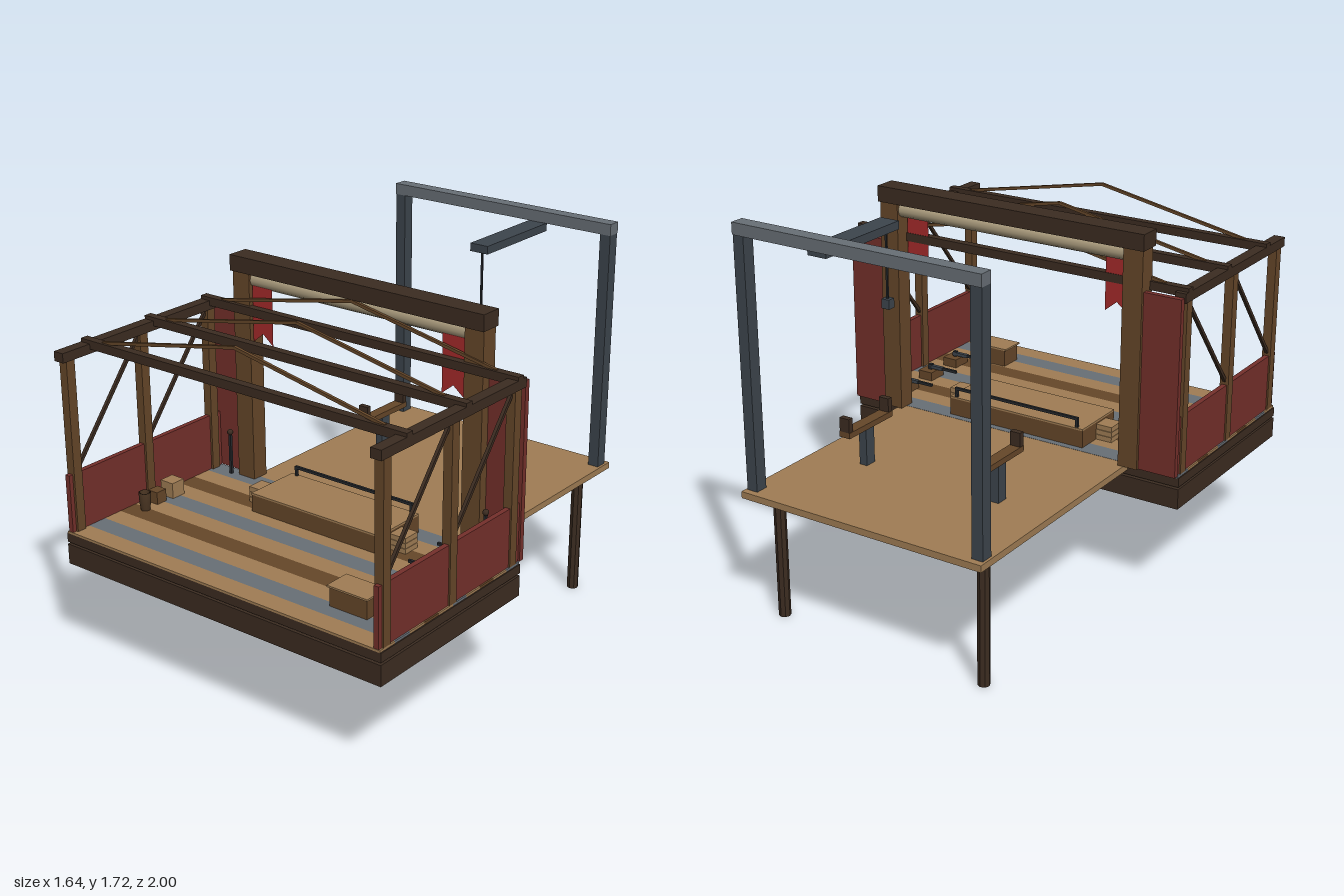
import * as THREE from 'three';

const mat = (name, color) => {
  const m = new THREE.MeshStandardMaterial({ color });
  m.name = name;
  return m;
};

export function createModel() {
  const root = new THREE.Group();
  const darkWood = mat('dark wood', 0x3c2c21);
  const wood = mat('brown wood', 0x664729);
  const tan = mat('tan planks', 0xa07d54);
  const red = mat('dark red panel', 0x75302b);
  const bannerRed = mat('banner red', 0xa52a2a);
  bannerRed.side = THREE.DoubleSide;
  const steel = mat('light steel', 0x686f76);
  const darkSteel = mat('dark steel', 0x3d454d);
  const canvas = mat('canvas', 0xa99a7c);
  const iron = mat('iron', 0x25282c);
  const bucketWood = mat('bucket wood', 0x4a3522);
  bucketWood.side = THREE.DoubleSide;

  const add = (name, geo, m) => {
    const mesh = new THREE.Mesh(geo, m);
    mesh.name = name;
    root.add(mesh);
    return mesh;
  };
  // box given by its limits on each axis
  const box = (name, m, x0, x1, y0, y1, z0, z1) => {
    const b = add(name, new THREE.BoxGeometry(x1 - x0, y1 - y0, z1 - z0), m);
    b.position.set((x0 + x1) / 2, (y0 + y1) / 2, (z0 + z1) / 2);
    return b;
  };
  // the same box on both sides of x = 0
  const pair = (name, m, x0, x1, ...yz) => {
    box(name + 'Left', m, x0, x1, ...yz);
    box(name + 'Right', m, -x1, -x0, ...yz);
  };
  // square bar between two points
  const bar = (name, m, a, b, t) => {
    const p = new THREE.Vector3(...a), q = new THREE.Vector3(...b);
    const mesh = add(name, new THREE.BoxGeometry(t, t, p.distanceTo(q)), m);
    mesh.position.copy(p).add(q).multiplyScalar(0.5);
    mesh.lookAt(q);
    return mesh;
  };

  // Base and floor planks
  box('baseSlab', darkWood, -0.82, 0.82, 0.45, 0.54, 0.09, 1);
  box('floorFrame', darkWood, -0.82, 0.82, 0.55, 0.59, 0.09, 1);
  const plankColors = [steel, tan, wood, tan];
  for (let i = 0; i < 10; i++) {
    const z = 0.09 + i * 0.091;
    box('floorPlank', plankColors[i % 4], -0.815, 0.815, 0.59, 0.6, z, z + 0.091);
  }

  // Rear platform on two legs
  box('platform', tan, -0.58, 0.58, 0.57, 0.599, -1, 0.09);
  for (const x of [-0.5, 0.5]) {
    const leg = add('platformLeg', new THREE.CylinderGeometry(0.026, 0.026, 0.57, 8).toNonIndexed(), darkWood);
    leg.geometry.computeVertexNormals();
    leg.position.set(x, 0.285, -0.865);
  }

  // Crane frame with jib, cable and hook block
  pair('cranePost', darkSteel, 0.52, 0.57, 0.6, 1.67, -0.973, -0.917);
  box('craneBeam', steel, -0.572, 0.57, 1.67, 1.72, -0.978, -0.917);
  box('craneJib', darkSteel, 0.155, 0.243, 1.633, 1.668, -0.93, -0.475);
  box('craneCable', iron, 0.196, 0.204, 1.34, 1.64, -0.504, -0.496);
  box('hookBlock', darkSteel, 0.181, 0.217, 1.307, 1.347, -0.518, -0.482);

  // Cradles on the platform
  pair('cradlePost', darkSteel, 0.308, 0.345, 0.6, 0.765, -0.527, -0.473);
  pair('cradleArm', wood, 0.3, 0.352, 0.765, 0.79, -0.645, -0.355);
  pair('cradleEnd', darkWood, 0.302, 0.35, 0.79, 0.85, -0.645, -0.62);
  pair('cradleEnd', darkWood, 0.302, 0.35, 0.79, 0.85, -0.38, -0.355);

  // Gate between the hall and the platform
  pair('gatePost', wood, 0.555, 0.645, 0.6, 1.55, 0.05, 0.13);
  box('gateLintel', darkWood, -0.652, 0.65, 1.545, 1.615, 0.04, 0.14);
  const roll = add('curtainRoll', new THREE.CylinderGeometry(0.033, 0.033, 1.11, 10), canvas);
  roll.rotation.z = Math.PI / 2;
  roll.position.set(0, 1.513, 0.09);
  pair('wingPanel', red, 0.645, 0.815, 0.6, 1.37, 0.063, 0.088);

  // Swallow-tailed banners
  for (const s of [-1, 1]) {
    const shape = new THREE.Shape([[-0.055, 1.5], [0.055, 1.5], [0.055, 1.24], [0, 1.285], [-0.055, 1.24]]
      .map(([x, y]) => new THREE.Vector2(x, y)));
    add('banner', new THREE.ShapeGeometry(shape), bannerRed).position.set(s * 0.495, 0, 0.115);
  }

  // Side walls: posts, rails, braces and low panels
  for (const z of [0.957, 0.545, 0.136]) pair('sidePost', wood, 0.775, 0.815, 0.6, 1.35, z - 0.022, z + 0.022);
  pair('sideRail', darkWood, 0.77, 0.82, 1.347, 1.388, 0.09, 1);
  pair('sidePanel', red, 0.785, 0.808, 0.6, 0.855, 0.09, 0.998);
  for (const x of [-0.795, 0.795]) {
    for (const z of [0.94, 0.53]) bar('sideBrace', darkWood, [x, 0.87, z], [x, 1.34, z - 0.38], 0.014);
  }

  // Roof trusses
  for (const z of [0.835, 0.472, 0.13]) {
    box('tieBeam', darkWood, -0.82, 0.82, 1.366, 1.403, z - 0.018, z + 0.018);
    for (const s of [-1, 1]) bar('rafter', wood, [s * 0.71, 1.4, z], [0, 1.537, z], 0.013);
  }

  // Central dais with rail and stacked side planks
  box('daisBody', wood, -0.343, 0.338, 0.6, 0.677, 0.12, 0.385);
  box('daisTop', tan, -0.343, 0.338, 0.677, 0.685, 0.12, 0.387);
  box('daisRail', iron, -0.315, 0.315, 0.718, 0.73, 0.124, 0.136);
  pair('daisRailPost', iron, 0.303, 0.315, 0.685, 0.72, 0.124, 0.136);
  for (let i = 0; i < 3; i++) {
    pair('stackedPlank', tan, 0.338, 0.418, 0.6 + i * 0.024, 0.622 + i * 0.024, 0.235, 0.317);
  }

  // Control boxes with levers
  for (const z of [0.243, 0.438, 0.637]) {
    box('leverBox', wood, 0.635, 0.708, 0.6, 0.64, z - 0.045, z + 0.05);
    box('leverBar', darkSteel, 0.6, 0.68, 0.645, 0.66, z - 0.009, z + 0.009);
    box('leverHandle', iron, 0.525, 0.6, 0.647, 0.659, z - 0.006, z + 0.006);
    box('leverPivot', iron, 0.66, 0.678, 0.64, 0.665, z - 0.009, z + 0.009);
  }

  // Standing rods beside the gate
  for (const x of [-0.682, 0.682]) {
    box('gateRod', iron, x - 0.006, x + 0.006, 0.6, 0.79, 0.134, 0.146);
    const knob = add('gateRodKnob', new THREE.SphereGeometry(0.014, 8, 6), darkWood);
    knob.position.set(x, 0.797, 0.14);
  }

  // Chest, crates and bucket
  box('chest', wood, 0.455, 0.635, 0.6, 0.68, 0.735, 0.845);
  box('chestLid', tan, 0.445, 0.64, 0.68, 0.688, 0.73, 0.85);
  box('paleCrate', tan, -0.765, -0.695, 0.6, 0.67, 0.43, 0.5);
  box('brownCrate', wood, -0.757, -0.705, 0.6, 0.655, 0.53, 0.585);
  const bucket = add('bucket', new THREE.LatheGeometry([[0.02, 0], [0.025, 0.035], [0.027, 0.08], [0.021, 0.08], [0.019, 0.01]]
    .map(([r, y]) => new THREE.Vector2(r, y)), 12), bucketWood);
  bucket.position.set(-0.712, 0.6, 0.65);

  return root;
}
